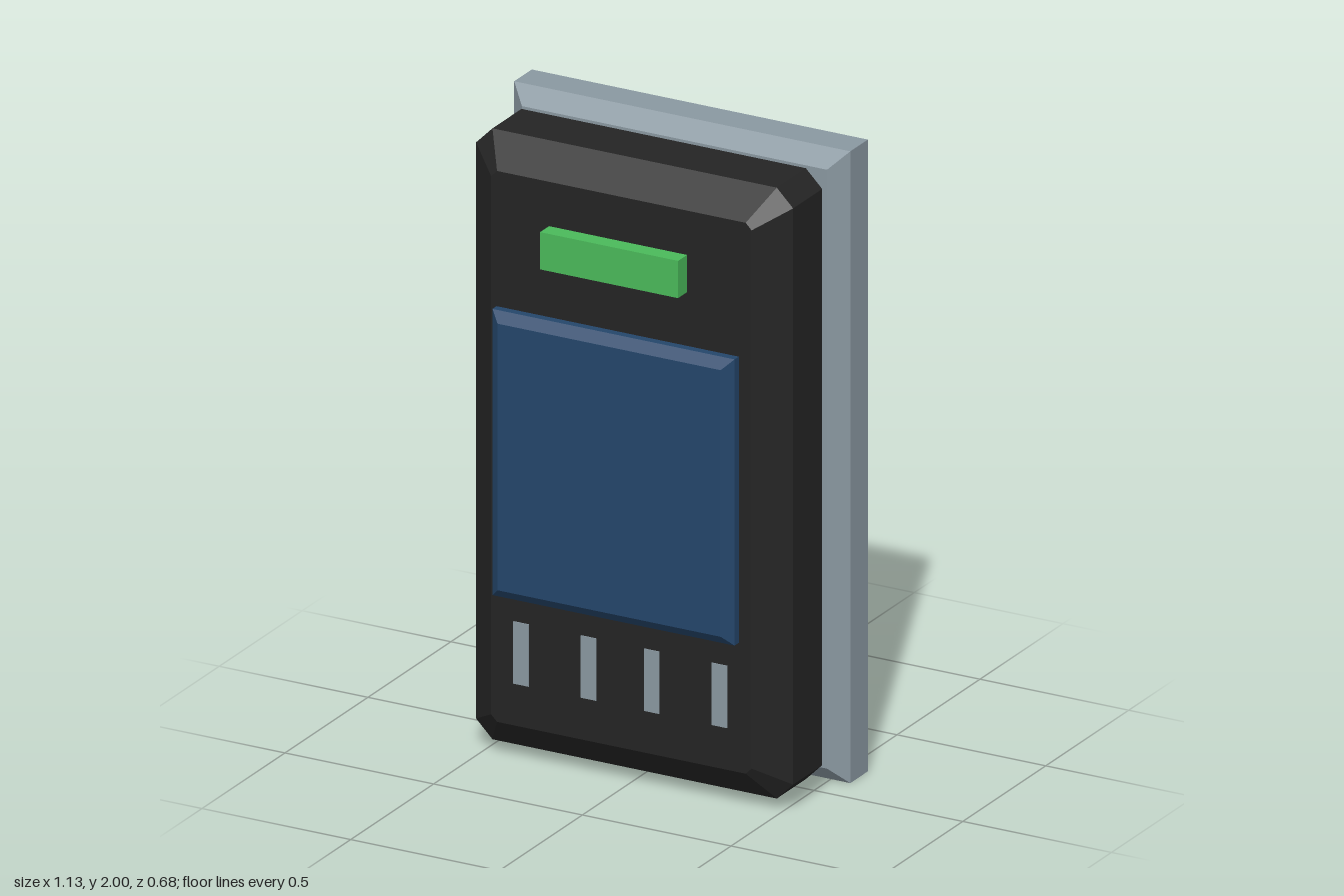
import * as THREE from 'three';

const mat = (name, color) => {
  const m = new THREE.MeshStandardMaterial({ color });
  m.name = name;
  return m;
};

// Slab with bevelled front and back rims, made by joining cross-sections.
// Each section is [z, halfWidth, halfHeight, cornerCut], listed back to front.
function slabGeometry(cy, sections) {
  const rings = sections.map(([z, w, h, c]) => [
    [w, -h + c], [w, h - c], [w - c, h], [-w + c, h],
    [-w, h - c], [-w, -h + c], [-w + c, -h], [w - c, -h],
  ].map(([x, y]) => [x, y + cy, z]));
  const pos = [];
  const n = 8;
  for (let s = 0; s < rings.length - 1; s++) {
    const a = rings[s], b = rings[s + 1];
    for (let i = 0; i < n; i++) {
      const j = (i + 1) % n;
      if (sections[s][3] === 0 && sections[s + 1][3] === 0 && i % 2) continue; // no corner facet
      pos.push(...a[i], ...a[j], ...b[j], ...a[i], ...b[j], ...b[i]);
    }
  }
  const back = rings[0], front = rings[rings.length - 1];
  for (let i = 1; i < n - 1; i++) {
    pos.push(...front[0], ...front[i], ...front[i + 1]);
    pos.push(...back[0], ...back[i + 1], ...back[i]);
  }
  const g = new THREE.BufferGeometry();
  g.setAttribute('position', new THREE.Float32BufferAttribute(pos, 3));
  g.computeVertexNormals();
  return g;
}

export function createModel() {
  const black = mat('black casing', 0x242424);
  const grey = mat('blue grey', 0x8a98a1);
  const blue = mat('screen blue', 0x24466b);
  const green = mat('indicator green', 0x4aba5a);
  const model = new THREE.Group();
  model.name = 'handheldDevice';

  const add = (name, geometry, material) => {
    const mesh = new THREE.Mesh(geometry, material);
    mesh.name = name;
    model.add(mesh);
    return mesh;
  };
  const box = (name, x0, x1, y0, y1, z0, z1, material) =>
    add(name, new THREE.BoxGeometry(x1 - x0, y1 - y0, z1 - z0), material)
      .position.set((x0 + x1) / 2, (y0 + y1) / 2, (z0 + z1) / 2);

  // Rear plate
  add('backPlate', slabGeometry(1, [
    [-0.255, 0.513, 0.948, 0], [-0.208, 0.565, 1, 0],
    [-0.102, 0.565, 1, 0], [-0.055, 0.513, 0.948, 0],
  ]), grey);

  // Main casing with cut corners
  add('casing', slabGeometry(1.002, [
    [-0.07, 0.438, 0.872, 0.02], [0.01, 0.533, 0.967, 0.055],
    [0.185, 0.533, 0.967, 0.055], [0.265, 0.438, 0.872, 0.02],
  ]), black);

  // Screen
  add('screen', slabGeometry(1.003, [
    [0.26, 0.375, 0.422, 0], [0.287, 0.407, 0.453, 0],
    [0.312, 0.407, 0.453, 0], [0.339, 0.375, 0.422, 0],
  ]), blue);

  // Indicator bar, standing just clear of the casing
  box('indicatorBar', -0.232, 0.232, 1.625, 1.743, 0.285, 0.339, green);

  // Row of slim keys
  [-0.336, -0.109, 0.103, 0.331].forEach((x, i) =>
    box('key' + (i + 1), x - 0.026, x + 0.026, 0.263, 0.46, 0.26, 0.268, grey));

  // Block on the back
  box('rearConnector', -0.167, 0.167, 0.375, 0.562, -0.339, -0.25, black);

  return model;
}
